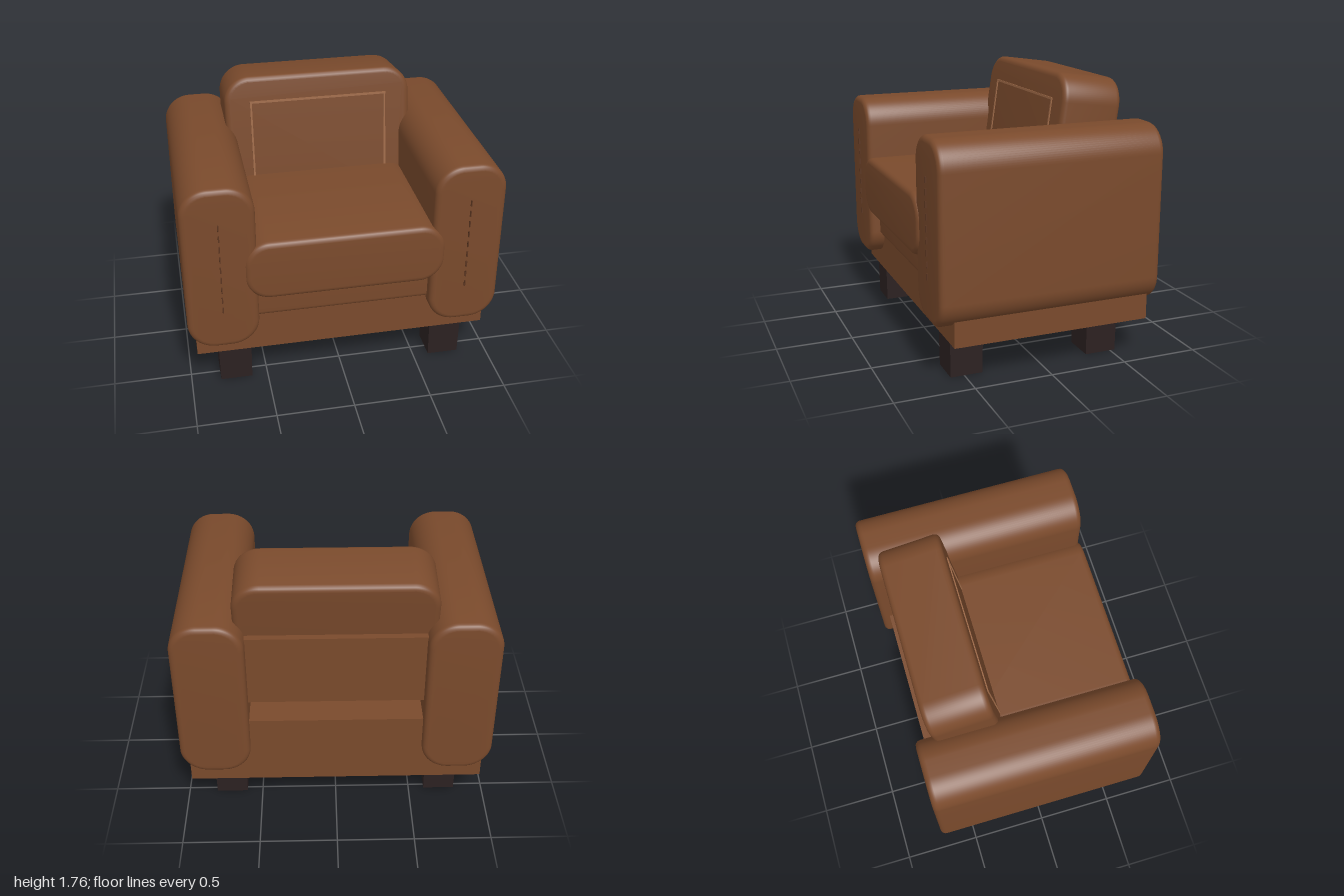
import * as THREE from 'three';
import { toCreasedNormals } from 'three/addons/utils/BufferGeometryUtils.js';

const leather = new THREE.MeshStandardMaterial({ color: 0x7a4a2c });
leather.name = 'brown leather';
const piping = new THREE.MeshStandardMaterial({ color: 0x9c6846 });
piping.name = 'light piping';
const thread = new THREE.MeshStandardMaterial({ color: 0x5a3520 });
thread.name = 'dark thread';
const wood = new THREE.MeshStandardMaterial({ color: 0x2c2121 });
wood.name = 'dark wood';

// Rounded rectangle in x/y, extruded along z with soft edges, centred
function cushion(w, h, d, r, bevel) {
  const x = w / 2 - bevel, y = h / 2 - bevel, q = r - bevel;
  const s = new THREE.Shape();
  s.absarc(x - q, y - q, q, 0, Math.PI / 2);
  s.absarc(-x + q, y - q, q, Math.PI / 2, Math.PI);
  s.absarc(-x + q, -y + q, q, Math.PI, Math.PI * 1.5);
  s.absarc(x - q, -y + q, q, Math.PI * 1.5, Math.PI * 2);
  s.closePath();
  const g = new THREE.ExtrudeGeometry(s, {
    depth: d - 2 * bevel, bevelEnabled: true, bevelSize: bevel,
    bevelThickness: bevel, bevelSegments: 4, curveSegments: 10,
  });
  g.translate(0, 0, -d / 2 + bevel);
  return toCreasedNormals(g, 0.6);
}

export function createModel() {
  const group = new THREE.Group();
  const add = (name, geo, mat, x, y, z, parent = group) => {
    const m = new THREE.Mesh(geo, mat);
    m.name = name;
    m.position.set(x, y, z);
    parent.add(m);
    return m;
  };
  const box = (w, h, d) => new THREE.BoxGeometry(w, h, d);

  // Base frame and the deck between the arms
  add('baseFrame', box(1.9, 0.27, 1.28), leather, 0, 0.385, -0.03);
  add('seatDeck', box(1.14, 0.24, 1.23), leather, 0, 0.62, -0.055);
  add('lowerCushion', cushion(1.2, 0.28, 0.6, 0.05, 0.03), leather, 0, 0.66, 0.34);

  // Seat cushion
  add('seatCushion', cushion(1.26, 0.4, 1.1, 0.16, 0.035), leather, 0, 0.9, 0.175);

  // Panel behind the backrest
  add('backPanel', box(1.14, 0.48, 0.2), leather, 0, 1.11, -0.54);

  // Leaning backrest with piping on its front
  const back = new THREE.Group();
  back.name = 'backrest';
  back.position.set(0, 1.27, -0.384);
  back.rotation.x = -0.14;
  group.add(back);
  add('backCushion', cushion(1.24, 0.95, 0.4, 0.17, 0.035), leather, 0, 0, 0, back);
  add('topPiping', box(0.912, 0.014, 0.014), piping, 0, 0.305, 0.2, back);
  for (const s of [-1, 1]) {
    add('sidePiping', box(0.012, 0.6, 0.014), piping, s * 0.449, 0.005, 0.2, back);
  }

  for (const s of [-1, 1]) {
    // Arms
    add('arm', cushion(0.45, 1.125, 1.435, 0.175, 0.035), leather, s * 0.775, 0.925, -0.0075);
    // Stitches down the front of each arm
    for (let i = 0; i < 9; i++) {
      add('armStitch', box(0.008, 0.04, 0.016), thread, s * 0.775, 0.65 + i * 0.0735, 0.712);
    }
    // Slightly tapered square legs
    for (const z of [0.485, -0.43]) {
      const g = new THREE.CylinderGeometry(0.15, 0.145, 0.26, 4, 1).toNonIndexed();
      g.rotateY(Math.PI / 4);
      g.computeVertexNormals();
      add('leg', g, wood, s * 0.706, 0.13, z);
    }
  }
  return group;
}
